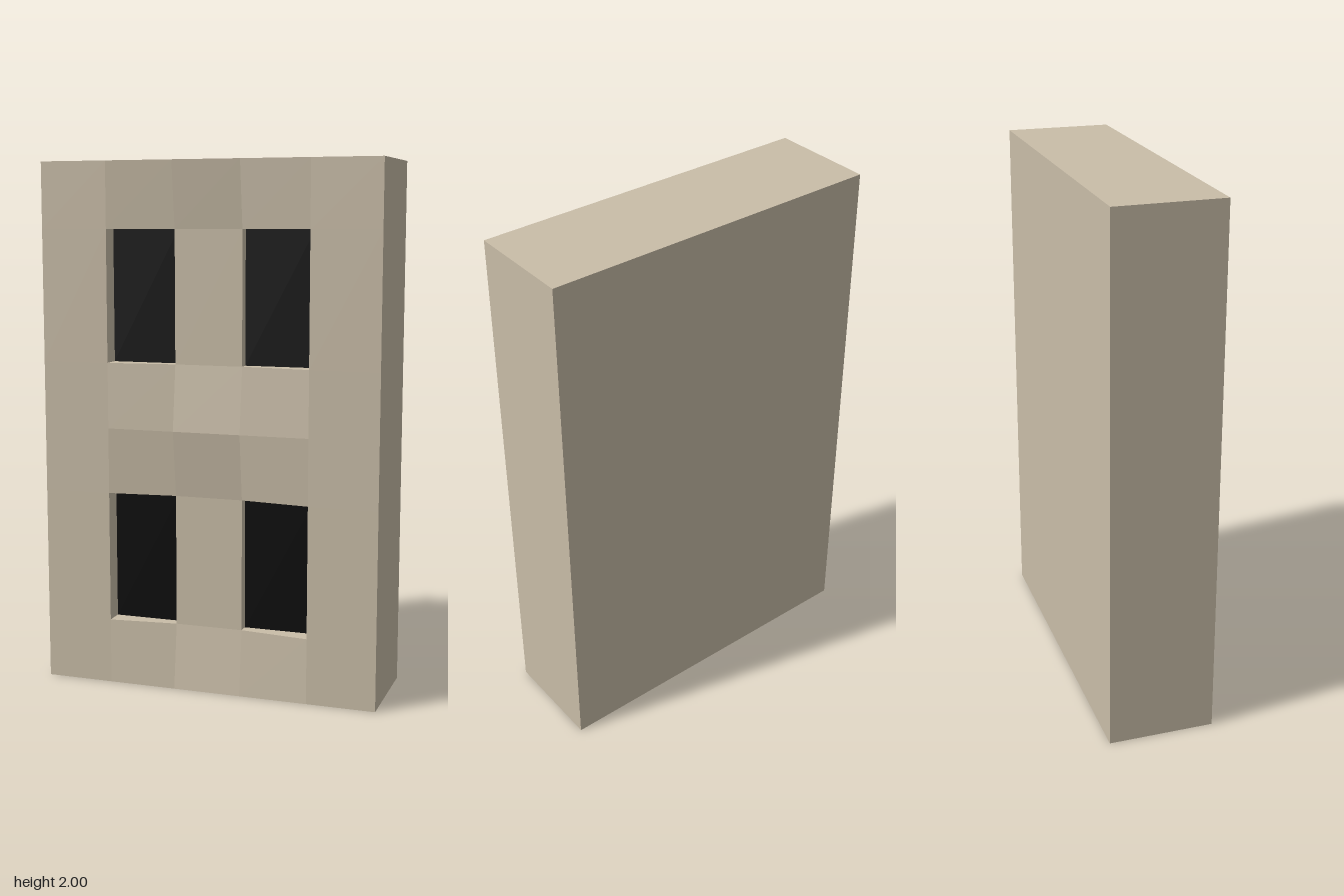
import * as THREE from 'three';

const W = 0.655, H = 2, D = 0.2;   // half width, height, half depth
const DENT = 0.03;                 // how far the central pier sinks in beside the windows
const GLASS_Z = 0.13;
const xs = [-0.655, -0.393, -0.131, 0.131, 0.393, 0.655];
const ys = [0, 0.25, 0.75, 1, 1.25, 1.75, 2];

// Quads (corners anticlockwise from outside), each shaded with a single normal
function quadMesh(quads, material, name) {
  const pos = [], nor = [];
  for (const [a, b, c, d] of quads) {
    const n = c.clone().sub(a).cross(d.clone().sub(b)).normalize();
    for (const p of [a, b, c, a, c, d]) {
      pos.push(p.x, p.y, p.z);
      nor.push(n.x, n.y, n.z);
    }
  }
  const g = new THREE.BufferGeometry();
  g.setAttribute('position', new THREE.Float32BufferAttribute(pos, 3));
  g.setAttribute('normal', new THREE.Float32BufferAttribute(nor, 3));
  const mesh = new THREE.Mesh(g, material);
  mesh.name = name;
  return mesh;
}

export function createModel() {
  const group = new THREE.Group();
  group.name = 'wallPanel';
  const stone = new THREE.MeshStandardMaterial({ color: 0xc9bda8 });
  const dark = new THREE.MeshStandardMaterial({ color: 0x0a0a0a });
  const v = (x, y, z) => new THREE.Vector3(x, y, z);

  // Facade grid point: only the pier corners at window heads and sills are sunk
  const front = (i, j) => v(xs[i], ys[j], D - ((i === 2 || i === 3) && j % 3 !== 0 ? DENT : 0));
  const atGlass = (p) => v(p.x, p.y, GLASS_Z);

  const facade = [], reveals = [];
  for (let i = 0; i < 5; i++) {
    for (let j = 0; j < 6; j++) {
      const q = [front(i, j), front(i + 1, j), front(i + 1, j + 1), front(i, j + 1)];
      const isWindow = i % 2 === 1 && j % 3 === 1;
      if (!isWindow) {
        facade.push(q);
        continue;
      }
      // Sill, jambs and head running back to the glass
      q.forEach((a, k) => {
        const b = q[(k + 1) % 4];
        reveals.push([a, b, atGlass(b), atGlass(a)]);
      });
      const glass = new THREE.Mesh(
        new THREE.PlaneGeometry(xs[i + 1] - xs[i], ys[j + 1] - ys[j]), dark);
      glass.position.set((xs[i] + xs[i + 1]) / 2, (ys[j] + ys[j + 1]) / 2, GLASS_Z);
      glass.name = 'windowGlass';
      group.add(glass);
    }
  }

  // Plain back, sides, top and base
  const shell = [
    [v(W, 0, -D), v(-W, 0, -D), v(-W, H, -D), v(W, H, -D)],
    [v(W, 0, D), v(W, 0, -D), v(W, H, -D), v(W, H, D)],
    [v(-W, 0, -D), v(-W, 0, D), v(-W, H, D), v(-W, H, -D)],
    [v(-W, H, D), v(W, H, D), v(W, H, -D), v(-W, H, -D)],
    [v(-W, 0, -D), v(W, 0, -D), v(W, 0, D), v(-W, 0, D)],
  ];

  group.add(
    quadMesh(facade, stone, 'facade'),
    quadMesh(reveals, stone, 'windowReveals'),
    quadMesh(shell, stone, 'wallShell'),
  );
  return group;
}
